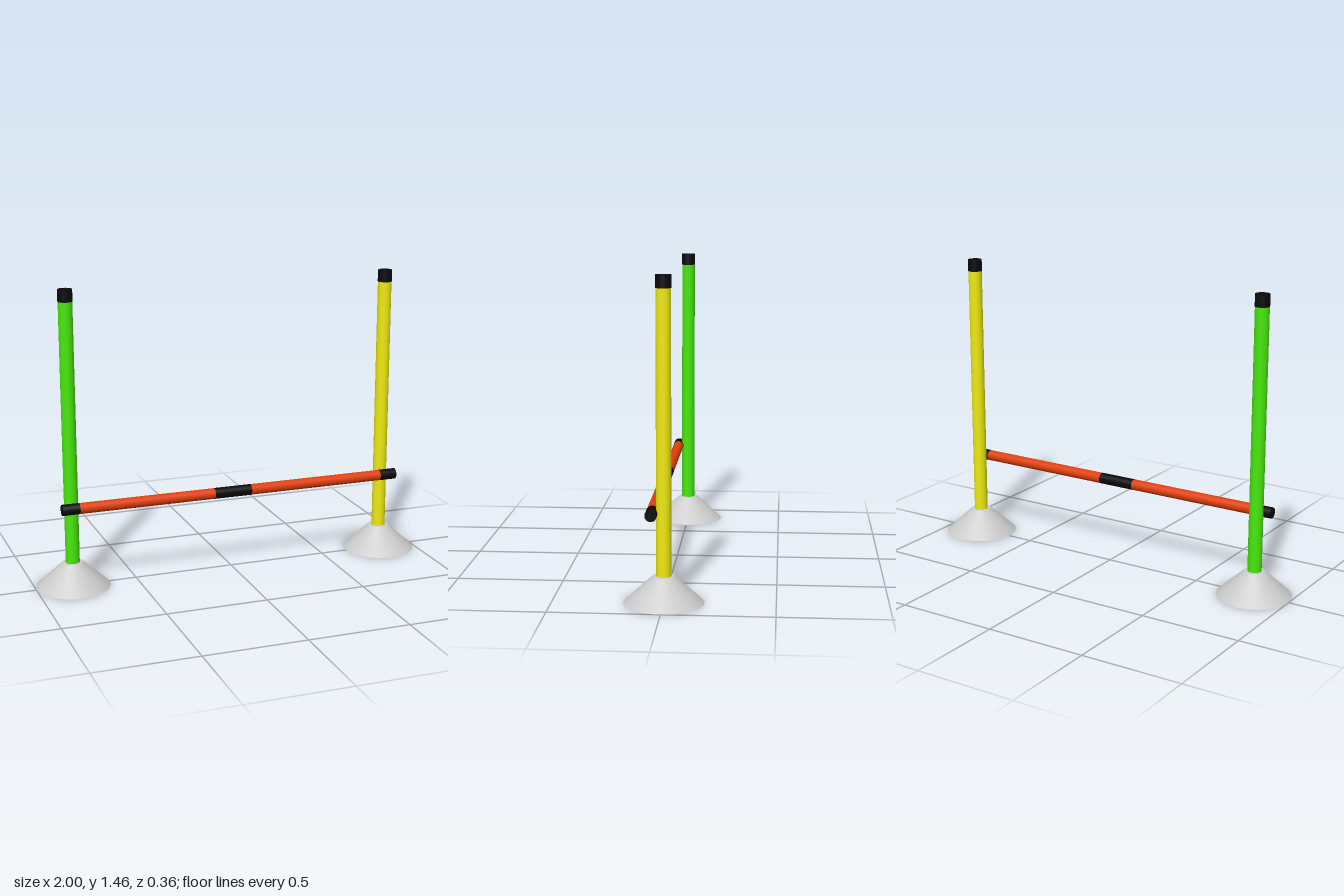
import * as THREE from 'three';

const material = (color) => new THREE.MeshStandardMaterial({ color });
const SIDES = 32;

export function createModel() {
  const model = new THREE.Group();
  const grey = material(0xcccccc);
  const black = material(0x0a0a0a);
  const orange = material(0xe0400a);

  // Upright cylinder or cone between two heights
  const upright = (name, rTop, rBottom, y0, y1, mat) => {
    const mesh = new THREE.Mesh(new THREE.CylinderGeometry(rTop, rBottom, y1 - y0, SIDES), mat);
    mesh.name = name;
    mesh.position.y = (y0 + y1) / 2;
    return mesh;
  };

  // Two posts, each on a conical foot with a black cap
  const posts = [
    ['left', 0.817, 0xeeea10],
    ['right', -0.817, 0x48e80c],
  ];
  for (const [side, x, color] of posts) {
    const stand = new THREE.Group();
    stand.name = side + 'Stand';
    stand.position.x = x;
    stand.add(
      upright('foot', 0.05, 0.182, 0, 0.123, grey),
      upright('post', 0.034, 0.034, 0.1, 1.4, material(color)),
      upright('postCap', 0.035, 0.035, 1.4, 1.458, black),
    );
    model.add(stand);
  }

  // Crossbar in front of the posts, made of alternating bands
  const bar = new THREE.Group();
  bar.name = 'crossbar';
  bar.position.set(0, 0.407, 0.053);
  const stops = [-0.875, -0.79, -0.107, 0.083, 0.787, 0.875];
  for (let i = 0; i < stops.length - 1; i++) {
    const length = stops[i + 1] - stops[i];
    const dark = i % 2 === 0;
    const r = dark ? 0.027 : 0.0265;
    const band = new THREE.Mesh(new THREE.CylinderGeometry(r, r, length, SIDES), dark ? black : orange);
    band.name = dark ? 'blackBand' : 'orangeBand';
    band.rotation.z = Math.PI / 2;
    band.position.x = (stops[i] + stops[i + 1]) / 2;
    bar.add(band);
  }
  model.add(bar);

  return model;
}
